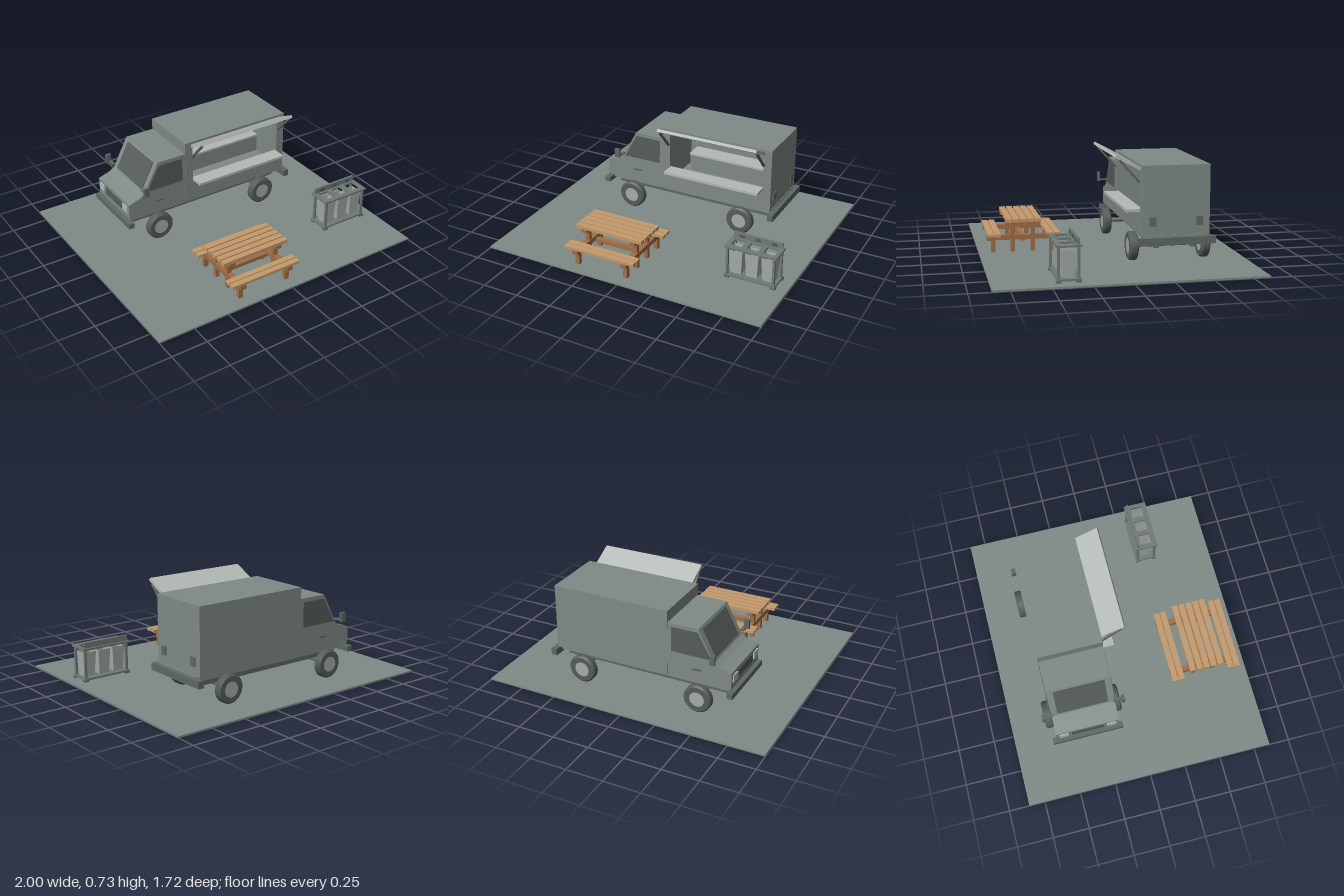
import * as THREE from 'three';

const mat = (name, color, extra = {}) => {
  const m = new THREE.MeshStandardMaterial({ color, ...extra });
  m.name = name;
  return m;
};

export function createModel() {
  const M = {
    ground: mat('pavement', 0x7f8a85),
    body: mat('grey paint', 0x7f8a85),
    light: mat('pale metal', 0xb4bab6),
    glass: mat('dark glass', 0x565d5a),
    trim: mat('dark trim', 0x5f6865),
    tyre: mat('rubber', 0x565c5a),
    bin: mat('bin plastic', 0xa6ada9, { side: THREE.DoubleSide }),
    rack: mat('rack metal', 0x6f7a76),
    slat: mat('light wood', 0xc49a6c),
    beam: mat('brown wood', 0xa06e46),
  };
  const root = new THREE.Group();
  root.name = 'foodTruckScene';
  const group = (name, parent = root) => {
    const g = new THREE.Group();
    g.name = name;
    parent.add(g);
    return g;
  };
  const add = (parent, name, geo, material) => {
    const m = new THREE.Mesh(geo, material);
    m.name = name;
    parent.add(m);
    return m;
  };
  // Box given by its two extremes on every axis
  const box = (parent, name, material, x0, x1, y0, y1, z0, z1) => {
    const m = add(parent, name, new THREE.BoxGeometry(x1 - x0, y1 - y0, z1 - z0), material);
    m.position.set((x0 + x1) / 2, (y0 + y1) / 2, (z0 + z1) / 2);
    return m;
  };
  const shapeOf = (pts) => new THREE.Shape(pts.map(([x, y]) => new THREE.Vector2(x, y)));
  const rectHole = (x0, x1, y0, y1) =>
    new THREE.Path([[x0, y0], [x0, y1], [x1, y1], [x1, y0]].map(([x, y]) => new THREE.Vector2(x, y)));
  // Profile in x/y, extruded from z0 to z1
  const slab = (parent, name, material, shape, z0, z1) => {
    const geo = new THREE.ExtrudeGeometry(shape, { depth: z1 - z0, bevelEnabled: false });
    geo.translate(0, 0, z0);
    return add(parent, name, geo, material);
  };
  // Square bar between two points
  const bar = (parent, name, material, a, b, t) => {
    const p = new THREE.Vector3(...a), q = new THREE.Vector3(...b);
    const m = add(parent, name, new THREE.BoxGeometry(t, t, p.distanceTo(q)), material);
    m.position.copy(p).add(q).multiplyScalar(0.5);
    m.lookAt(q);
    return m;
  };

  box(root, 'groundSlab', M.ground, -1, 1, 0, 0.012, -0.86, 0.86);

  // ---- Truck ----
  const truck = group('truck');
  const ZF = -0.13, ZB = -0.575, ZC = (ZF + ZB) / 2;

  // Hollow cargo box with a serving hatch
  const cargo = group('cargoBox', truck);
  const wall = shapeOf([[-0.2, 0.21], [0.63, 0.21], [0.63, 0.665], [-0.2, 0.665]]);
  wall.holes.push(rectHole(-0.14, 0.57, 0.375, 0.625));
  slab(cargo, 'hatchWall', M.body, wall, ZF - 0.015, ZF);
  box(cargo, 'backWall', M.body, -0.2, 0.63, 0.21, 0.665, ZB, ZB + 0.015);
  box(cargo, 'roof', M.body, -0.2, 0.63, 0.65, 0.665, ZB + 0.015, ZF - 0.015);
  box(cargo, 'floor', M.body, -0.2, 0.63, 0.21, 0.225, ZB + 0.015, ZF - 0.015);
  box(cargo, 'bulkhead', M.body, -0.2, -0.185, 0.225, 0.65, ZB + 0.015, ZF - 0.015);
  box(cargo, 'rearWall', M.body, 0.615, 0.63, 0.225, 0.65, ZB + 0.015, ZF - 0.015);
  box(cargo, 'kitchenCabinet', M.body, -0.13, 0.615, 0.225, 0.348, ZB + 0.015, -0.435);
  box(cargo, 'kitchenWorktop', M.light, -0.135, 0.615, 0.348, 0.362, ZB + 0.015, -0.43);
  box(cargo, 'servingCounter', M.light, -0.14, 0.57, 0.36, 0.378, ZF - 0.015, -0.04);

  // Raised awning and its struts
  const awning = add(cargo, 'awning', new THREE.BoxGeometry(0.735, 0.02, 0.18), M.light);
  awning.position.set(0.214, 0.68, -0.05);
  awning.rotation.x = -0.488;
  for (const x of [-0.147, 0.575]) bar(cargo, 'awningStrut', M.trim, [x, 0.55, ZF + 0.004], [x, 0.698, 0.008], 0.014);

  // Cab with sloping bonnet and windscreen
  const cab = group('cab', truck);
  slab(cab, 'cabShell', M.body, shapeOf([[-0.645, 0.21], [-0.2, 0.21], [-0.2, 0.585], [-0.413, 0.585],
    [-0.525, 0.372], [-0.565, 0.35], [-0.645, 0.325]]), ZB + 0.004, ZF - 0.004);
  const screen = add(cab, 'windscreen', new THREE.BoxGeometry(0.006, 0.205, 0.35), M.glass);
  screen.position.set(-0.4705, 0.4785, ZC);
  screen.rotation.z = -Math.atan2(0.112, 0.213);
  box(cab, 'grille', M.glass, -0.65, -0.643, 0.25, 0.305, ZC - 0.11, ZC + 0.11);
  const windowShape = shapeOf([[-0.505, 0.388], [-0.225, 0.388], [-0.225, 0.56], [-0.408, 0.56]]);
  for (const s of [-1, 1]) {
    const face = ZC + s * 0.2185; // outer cab side
    const out = (d0, d1) => [face + s * d0, face + s * d1].sort((a, b) => a - b);
    slab(cab, 'sideWindow', M.glass, windowShape, ...out(-0.002, 0.004));
    box(cab, 'doorHandle', M.trim, -0.435, -0.375, 0.29, 0.302, ...out(0, 0.009));
    box(cab, 'headlight', M.light, -0.654, -0.643, 0.255, 0.305, ZC + s * 0.165 - 0.032, ZC + s * 0.165 + 0.032);
    box(cab, 'mirrorArm', M.trim, -0.54, -0.515, 0.396, 0.406, ...out(-0.01, 0.05));
    box(cab, 'mirror', M.trim, -0.556, -0.518, 0.39, 0.455, ...out(0.046, 0.064));
    box(truck, 'tailLight', M.trim, 0.628, 0.638, 0.273, 0.333, ZC + s * 0.155 - 0.022, ZC + s * 0.155 + 0.022);
  }

  // Chassis, bumpers, axles and wheels
  const chassis = group('chassis', truck);
  box(chassis, 'chassisFrame', M.body, -0.63, 0.635, 0.175, 0.215, ZC - 0.185, ZC + 0.185);
  box(chassis, 'frontBumper', M.trim, -0.665, -0.625, 0.155, 0.192, ZC - 0.245, ZC + 0.245);
  box(chassis, 'rearBumper', M.trim, 0.625, 0.665, 0.155, 0.203, ZC - 0.255, ZC + 0.255);
  for (const s of [-1, 1]) box(chassis, 'frameRail', M.trim, -0.6, 0.6, 0.125, 0.175, ZC + s * 0.12 - 0.015, ZC + s * 0.12 + 0.015);
  const tyreProfile = [[0.052, -0.028], [0.086, -0.028], [0.096, -0.018], [0.096, 0.018], [0.086, 0.028], [0.052, 0.028]];
  // Each profile step is its own lathe band, so edges stay crisp
  for (const x of [-0.43, 0.42]) {
    const axle = add(chassis, 'axle', new THREE.CylinderGeometry(0.012, 0.012, 0.46, 12), M.trim);
    axle.rotation.x = Math.PI / 2;
    axle.position.set(x, 0.108, ZC);
    for (const s of [-1, 1]) {
      const wheel = group('wheel', chassis);
      wheel.position.set(x, 0.108, ZC + s * 0.242);
      wheel.rotation.x = Math.PI / 2;
      for (let i = 0; i < tyreProfile.length - 1; i++) {
        const band = [tyreProfile[i], tyreProfile[i + 1]].map(([r, y]) => new THREE.Vector2(r, y));
        add(wheel, 'tyre', new THREE.LatheGeometry(band, 32), M.tyre);
      }
      add(wheel, 'hub', new THREE.CylinderGeometry(0.053, 0.053, 0.046, 32), M.bin);
    }
  }

  // ---- Picnic table ----
  const table = group('picnicTable');
  for (let i = 0; i < 5; i++) {
    const z = 0.457 + i * 0.05;
    box(table, 'tableSlat', M.slat, -0.415, 0.08, 0.222, 0.245, z - 0.02, z + 0.02);
  }
  for (const z of [0.332, 0.379, 0.735, 0.782]) box(table, 'benchSlat', M.slat, -0.43, 0.09, 0.128, 0.147, z - 0.02, z + 0.02);
  for (const x of [-0.35, 0.013]) {
    box(table, 'benchBeam', M.beam, x - 0.02, x + 0.02, 0.096, 0.128, 0.312, 0.802);
    box(table, 'tableBeam', M.beam, x - 0.02, x + 0.02, 0.197, 0.222, 0.438, 0.678);
    for (const [z, top] of [[0.354, 0.096], [0.49, 0.197], [0.628, 0.197], [0.76, 0.096]])
      box(table, 'tableLeg', M.beam, x - 0.015, x + 0.015, 0.012, top, z - 0.014, z + 0.014);
  }
  box(table, 'stretcher', M.beam, -0.35, 0.013, 0.083, 0.108, 0.54, 0.576);

  // ---- Waste bin rack ----
  const bins = group('binRack');
  const binX = [0.636, 0.747, 0.86];
  const top = shapeOf([[0.566, -0.468], [0.926, -0.468], [0.926, -0.308], [0.566, -0.308]]);
  for (const x of binX) top.holes.push(rectHole(x - 0.038, x + 0.038, -0.432, -0.35));
  const lid = slab(bins, 'rackTop', M.rack, top, 0.23, 0.243);
  lid.rotation.x = -Math.PI / 2; // lay the plate flat
  box(bins, 'rackBase', M.rack, 0.57, 0.922, 0.022, 0.035, 0.312, 0.462);
  box(bins, 'backBoard', M.rack, 0.578, 0.915, 0.243, 0.282, 0.322, 0.336);
  for (const x of [0.585, 0.907]) {
    for (const z of [0.328, 0.452]) {
      box(bins, 'rackPost', M.rack, x - 0.008, x + 0.008, 0.035, 0.23, z - 0.008, z + 0.008);
      box(bins, 'rackFoot', M.trim, x - 0.018, x + 0.018, 0.012, 0.022, z - 0.015, z + 0.015);
    }
  }
  for (const x of binX) {
    // Open tapered tub made from a four-sided cylinder
    const geo = new THREE.CylinderGeometry(0.047 * Math.SQRT2, 0.037 * Math.SQRT2, 0.17, 4, 1, true).toNonIndexed();
    geo.rotateY(Math.PI / 4);
    geo.computeVertexNormals();
    add(bins, 'binTub', geo, M.bin).position.set(x, 0.121, 0.391);
    box(bins, 'binBottom', M.bin, x - 0.037, x + 0.037, 0.036, 0.044, 0.354, 0.428);
    box(bins, 'binLabel', M.glass, x - 0.018, x + 0.018, 0.25, 0.272, 0.335, 0.339);
  }
  return root;
}
